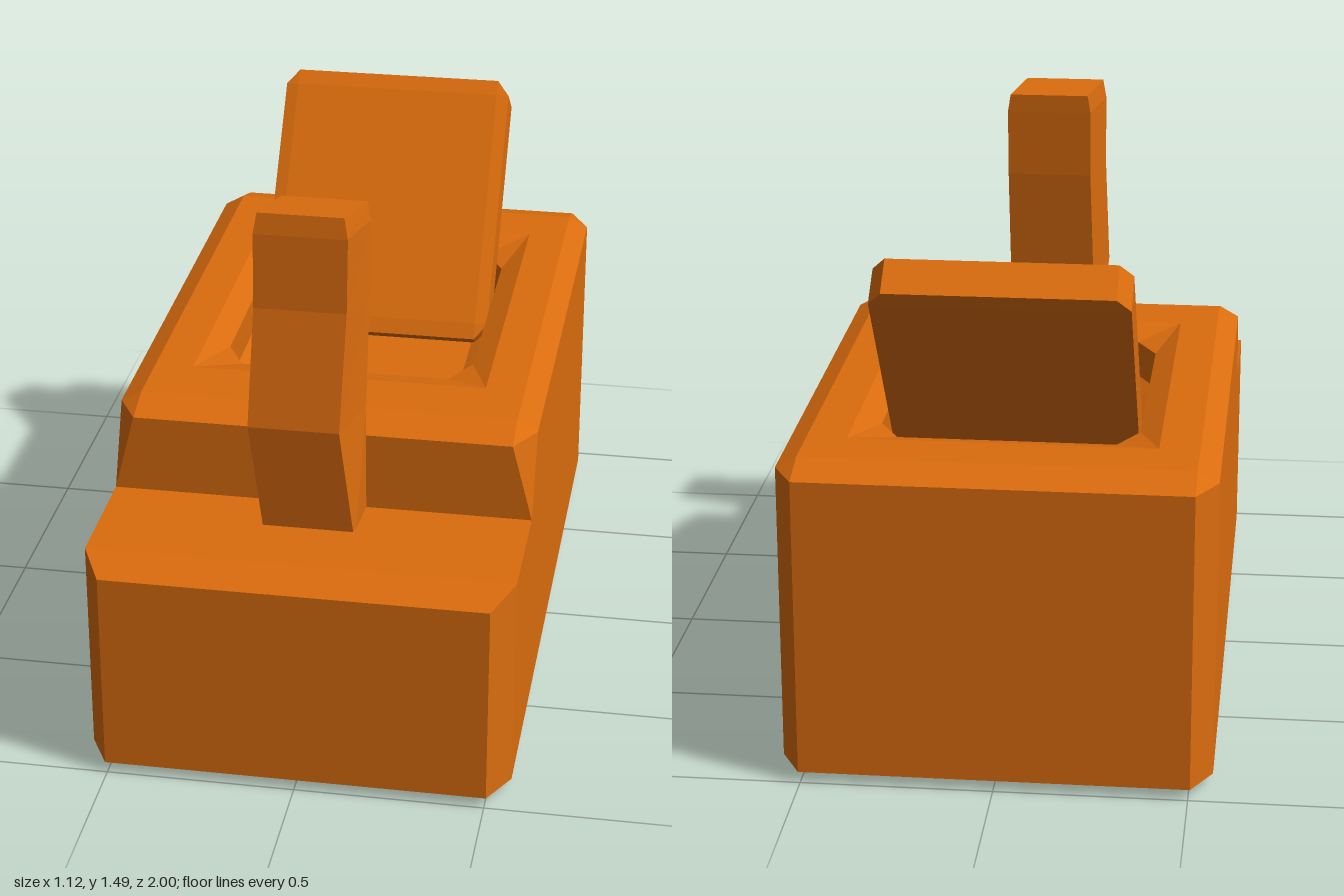
import * as THREE from 'three';
import { ConvexGeometry } from 'three/addons/geometries/ConvexGeometry.js';

const wood = new THREE.MeshStandardMaterial({ color: 0xda6c0e, flatShading: true });
wood.name = 'orange wood';

// Collects flat polygons; each is a fan from its first corner, turned to face the hint direction
function faceBuilder() {
  const pos = [];
  return {
    face(points, hint) {
      const p = points.map((q) => new THREE.Vector3(...q));
      const normal = new THREE.Vector3();
      for (let i = 1; i < p.length - 1; i++) {
        normal.add(p[i].clone().sub(p[0]).cross(p[i + 1].clone().sub(p[0])));
      }
      if (normal.dot(new THREE.Vector3(...hint)) < 0) p.reverse().unshift(p.pop());
      for (let i = 1; i < p.length - 1; i++) {
        for (const v of [p[0], p[i], p[i + 1]]) pos.push(v.x, v.y, v.z);
      }
    },
    geometry() {
      const g = new THREE.BufferGeometry();
      g.setAttribute('position', new THREE.Float32BufferAttribute(pos, 3));
      g.computeVertexNormals();
      return g;
    },
  };
}

function mesh(name, geometry) {
  const m = new THREE.Mesh(geometry, wood);
  m.name = name;
  return m;
}

// Box with a separate bevel size along each axis
function bevelBox(hx, hy, hz, bx, by, bz) {
  const pts = [];
  for (const x of [-1, 1]) for (const y of [-1, 1]) for (const z of [-1, 1]) {
    pts.push(
      new THREE.Vector3(x * hx, y * (hy - by), z * (hz - bz)),
      new THREE.Vector3(x * (hx - bx), y * hy, z * (hz - bz)),
      new THREE.Vector3(x * (hx - bx), y * (hy - by), z * hz));
  }
  return new ConvexGeometry(pts);
}

// Stepped block with bevelled edges and a shallow recess in its top
function bodyGeometry() {
  const { face, geometry } = faceBuilder();
  const X = 0.56, x = 0.505;            // outer and bevelled half widths
  const low = 0.617, edge = 0.83, top = 0.86;
  const step = 0.565, stepTop = 0.47;
  // A strip across the full width between two (halfWidth, y, z) edges
  const across = (a, b, hint) => face(
    [[-a[0], a[1], a[2]], a, b, [-b[0], b[1], b[2]]], hint);

  across([x, 0, 0.9], [x, 0, -0.9], [0, -1, 0]);
  across([x, 0, 0.9], [x, 0.03, 1], [0, -1, 1]);
  across([x, 0, -0.9], [x, 0.03, -1], [0, -1, -1]);
  across([x, 0.03, 1], [x, 0.585, 1], [0, 0, 1]);
  across([x, 0.585, 1], [X, low, 0.9], [0, 1, 1]);
  across([X, low, 0.9], [X, low, step], [0, 1, 0]);
  across([x, edge, step], [x, top, stepTop], [0, 1, 1]);
  across([x, 0.03, -1], [x, edge, -1], [0, 0, -1]);
  across([x, edge, -1], [x, top, -0.9], [0, 1, -1]);
  // Step wall
  face([[x, 0.645, step], [x, edge, step], [-x, edge, step], [-x, 0.645, step],
    [-X, low, step], [X, low, step]], [0, 0, 1]);

  for (const s of [1, -1]) {
    // Side wall
    face([[s * X, low, step], [s * X, edge, stepTop], [s * X, edge, -0.9],
      [s * X, 0.03, -0.9], [s * X, 0.03, 0.9], [s * X, low, 0.9]], [s, 0, 0]);
    // Bottom and top side bevels
    face([[s * x, 0, 0.9], [s * X, 0.03, 0.9], [s * X, 0.03, -0.9], [s * x, 0, -0.9]], [s, -1, 0]);
    face([[s * x, top, stepTop], [s * X, edge, stepTop], [s * X, edge, -0.9], [s * x, top, -0.9]], [s, 1, 0]);
    // Upright corner bevels
    face([[s * x, 0.03, 1], [s * X, 0.03, 0.9], [s * X, low, 0.9], [s * x, 0.585, 1]], [s, 0, 1]);
    face([[s * x, 0.03, -1], [s * X, 0.03, -0.9], [s * X, edge, -0.9], [s * x, edge, -1]], [s, 0, -1]);
    face([[s * x, edge, step], [s * X, edge, stepTop], [s * X, low, step], [s * x, 0.645, step]], [s, 0, 1]);
    // Corner tips
    for (const e of [1, -1]) {
      face([[s * x, 0, e * 0.9], [s * X, 0.03, e * 0.9], [s * x, 0.03, e]], [s, -1, e]);
    }
    face([[s * x, top, -0.9], [s * X, edge, -0.9], [s * x, edge, -1]], [s, 1, -1]);
    face([[s * x, top, stepTop], [s * X, edge, stepTop], [s * x, edge, step]], [s, 1, 1]);
    // Top surface beside the recess
    face([[s * x, top, stepTop], [s * x, top, -0.9], [s * 0.4, top, -0.75], [s * 0.4, top, 0.3]], [0, 1, 0]);
  }
  across([x, top, stepTop], [0.4, top, 0.3], [0, 1, 0]);
  across([x, top, -0.9], [0.4, top, -0.75], [0, 1, 0]);

  // Recess: sloped rim, upright wall, sloped foot and floor, about its own centre
  const c = -0.225, wallFoot = 0.73, floor = 0.7;
  for (const s of [1, -1]) {
    across([0.4, top, c + s * 0.525], [0.285, edge, c + s * 0.425], [0, 1, -s]);
    across([0.285, edge, c + s * 0.425], [0.285, wallFoot, c + s * 0.425], [0, 0, -s]);
    across([0.285, wallFoot, c + s * 0.425], [0.285, floor, c + s * 0.325], [0, 1, -s]);
    const side = (px, y, dz, qx, qy, qdz, hint) => face(
      [[s * px, y, c + dz], [s * px, y, c - dz], [s * qx, qy, c - qdz], [s * qx, qy, c + qdz]], hint);
    side(0.4, top, 0.525, 0.34, edge, 0.325, [-s, 1, 0]);
    side(0.34, edge, 0.325, 0.34, wallFoot, 0.325, [-s, 0, 0]);
    side(0.34, wallFoot, 0.325, 0.285, floor, 0.325, [-s, 1, 0]);
    for (const e of [1, -1]) {
      const a = [s * 0.34, edge, c + e * 0.325], b = [s * 0.285, edge, c + e * 0.425];
      const a2 = [a[0], wallFoot, a[2]], b2 = [b[0], wallFoot, b[2]];
      face([[s * 0.4, top, c + e * 0.525], a, b], [-s, 1, -e]);
      face([a, b, b2, a2], [-s, 0, -e]);
      face([a2, b2, [s * 0.285, floor, c + e * 0.325]], [-s, 1, -e]);
    }
  }
  across([0.285, floor, c + 0.325], [0.285, floor, c - 0.325], [0, 1, 0]);
  return geometry();
}

// Curved, slightly skewed grip lofted through four-cornered sections
function gripGeometry() {
  const { face, geometry } = faceBuilder();
  // y, front z, back z, front left/right x, back left/right x, back drop
  const rings = [
    [0.58, 0.7, 0.565, -0.128, 0.112, -0.135, 0.12, 0],
    [0.92, 0.74, 0.57, -0.16, 0.078, -0.125, 0.12, 0],
    [1.23, 0.68, 0.525, -0.152, 0.088, -0.118, 0.122, 0],
    [1.43, 0.672, 0.512, -0.152, 0.09, -0.118, 0.122, 0.01],
    [1.485, 0.663, 0.51, -0.143, 0.08, -0.11, 0.114, 0.015],
  ].map(([y, f, b, fl, fr, bl, br, drop]) => [
    [fl, y, f], [fr, y, f], [br, y - drop, b], [bl, y - drop, b]]);
  const hints = [[0, 0, 1], [1, 0, 0], [0, 0, -1], [-1, 0, 0]];
  for (let i = 0; i < rings.length - 1; i++) {
    for (let k = 0; k < 4; k++) {
      const n = (k + 1) % 4;
      face([rings[i][k], rings[i][n], rings[i + 1][n], rings[i + 1][k]], hints[k]);
    }
  }
  face(rings[0], [0, -1, 0]);
  face(rings[rings.length - 1], [0, 1, 0]);
  return geometry();
}

export function createModel() {
  const group = new THREE.Group();
  group.name = 'handPlane';

  group.add(mesh('body', bodyGeometry()));
  group.add(mesh('frontGrip', gripGeometry()));

  // Blade leaning back out of the recess
  const blade = mesh('blade', bevelBox(0.33, 0.389, 0.06, 0.035, 0.045, 0.006));
  blade.position.set(0, 1.001, -0.554);
  blade.rotation.x = -0.659;
  group.add(blade);

  return group;
}
